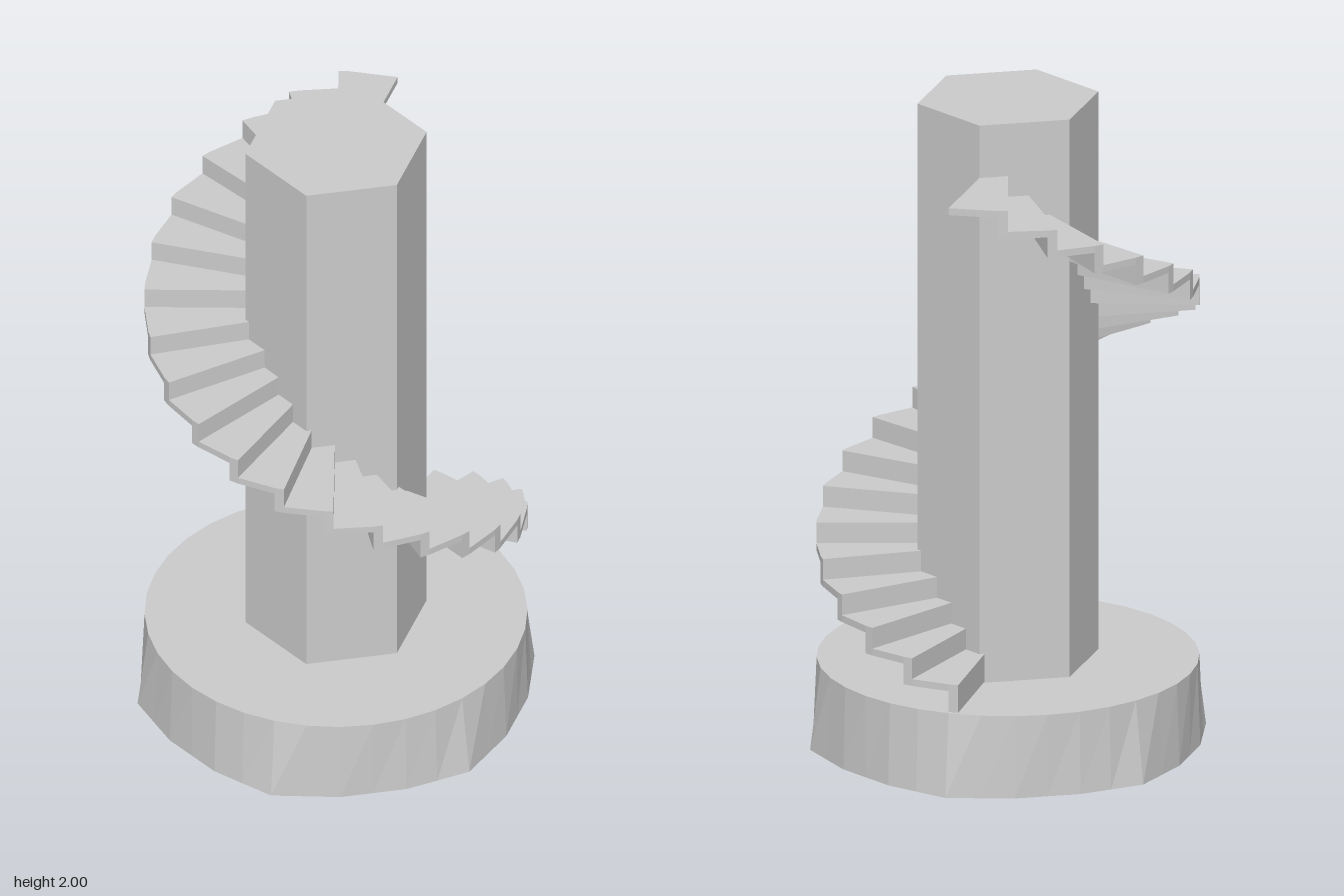
import * as THREE from 'three';

const RAD = Math.PI / 180;
const material = new THREE.MeshStandardMaterial({ color: 0xcccccc, flatShading: true });

const BASE_TOP = 0.255;
const OUTER = 0.568, INNER = 0.2;   // stair radii; the inner edge sits inside the column
const STEPS = 24, STEP_ANGLE = 15, RISER_ANGLE = 3, START = -33;
const RISE = 0.0648, THICK = 0.0216, FIRST_TOP = 0.3456;

function addMesh(parent, name, geometry) {
  const mesh = new THREE.Mesh(geometry, material);
  mesh.name = name;
  parent.add(mesh);
  return mesh;
}

// Slab between two angles (degrees from +x towards +z) and two heights
function wedge(a0, a1, y0, y1) {
  const point = (r, a) => new THREE.Vector2(r * Math.cos(a * RAD), -r * Math.sin(a * RAD));
  const shape = new THREE.Shape([point(INNER, a0), point(OUTER, a0), point(OUTER, a1), point(INNER, a1)]);
  const geometry = new THREE.ExtrudeGeometry(shape, { depth: y1 - y0, bevelEnabled: false });
  return geometry.rotateX(-Math.PI / 2).translate(0, y0, 0);
}

// Round top easing into an eighteen-sided foot with six protruding corners
function baseGeometry() {
  const geometry = new THREE.CylinderGeometry(OUTER, 1, BASE_TOP, 36);
  geometry.translate(0, BASE_TOP / 2, 0);
  const cornerRadius = (i) => (i % 6 === 0 ? 0.6 : 0.576);
  const pos = geometry.attributes.position;
  for (let v = 0; v < pos.count; v++) {
    if (pos.getY(v) > 0.01) continue;
    const i = Math.round(Math.atan2(pos.getX(v), pos.getZ(v)) / (10 * RAD)) + 36;
    const r = i % 2 === 0
      ? cornerRadius(i)
      : (cornerRadius(i - 1) + cornerRadius(i + 1)) / 2 * Math.cos(10 * RAD);
    pos.setX(v, pos.getX(v) * r);
    pos.setZ(v, pos.getZ(v) * r);
  }
  geometry.computeVertexNormals();
  return geometry;
}

export function createModel() {
  const model = new THREE.Group();
  model.name = 'spiralStaircase';

  addMesh(model, 'base', baseGeometry());

  // Hexagonal column with corners facing front and back
  const height = 2 - BASE_TOP + 0.02;
  addMesh(model, 'column', new THREE.CylinderGeometry(0.274, 0.274, height, 6)).position.y = 2 - height / 2;

  // One full turn of folded steps
  const stairs = new THREE.Group();
  stairs.name = 'stairs';
  model.add(stairs);
  for (let i = 0; i < STEPS; i++) {
    const a = START + i * STEP_ANGLE;
    const top = FIRST_TOP + i * RISE;
    const end = a + STEP_ANGLE + (i === STEPS - 1 ? RISER_ANGLE : 0);
    addMesh(stairs, 'riser', wedge(a, a + RISER_ANGLE, top - RISE - THICK, top));
    addMesh(stairs, 'tread', wedge(a + RISER_ANGLE, end, top - THICK, top));
  }

  return model;
}
